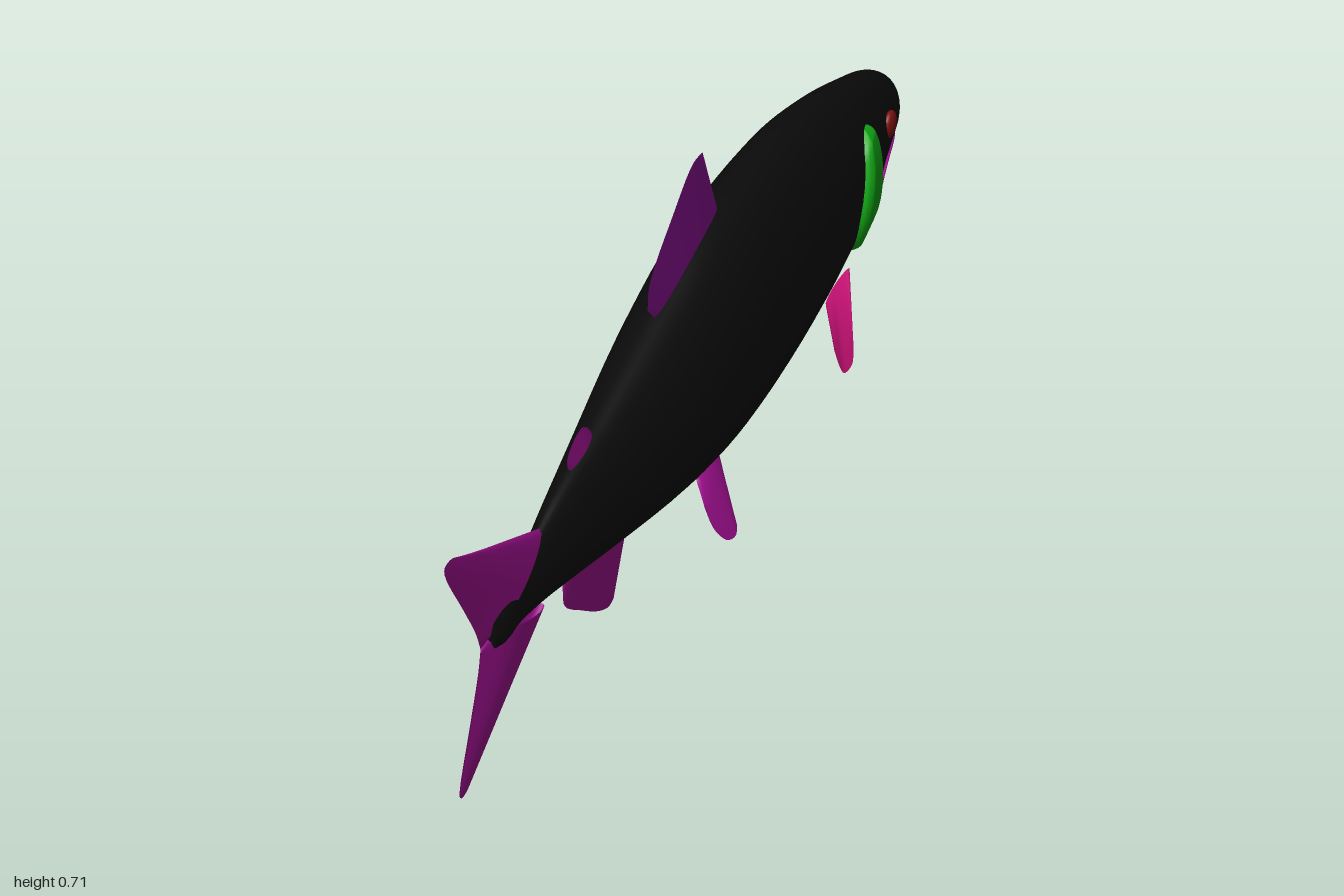
import * as THREE from 'three';
import { mergeVertices } from 'three/addons/utils/BufferGeometryUtils.js';

const mat = (name, color, side = THREE.FrontSide) => {
  const m = new THREE.MeshStandardMaterial({ color, side });
  m.name = name;
  return m;
};
const V = (x, y, z) => new THREE.Vector3(x, y, z);

// Smooth surface from a rule fn(u, v) -> Vector3, with du x dv pointing outward
function grid(fn, nu, nv) {
  const pos = [], idx = [];
  for (let j = 0; j <= nv; j++)
    for (let i = 0; i <= nu; i++) pos.push(...fn(i / nu, j / nv).toArray());
  for (let j = 0; j < nv; j++)
    for (let i = 0; i < nu; i++) {
      const a = j * (nu + 1) + i, c = a + nu + 1;
      idx.push(a, a + 1, c, a + 1, c + 1, c);
    }
  let g = new THREE.BufferGeometry();
  g.setAttribute('position', new THREE.Float32BufferAttribute(pos, 3));
  g.setIndex(idx);
  g = mergeVertices(g, 1e-5);
  g.computeVertexNormals();
  return g;
}

// Stations: [z, half width, top, widest height, bottom]
const bodyStations = [
  [-1, 0, 0.32, 0.315, 0.31],
  [-0.993, 0.026, 0.35, 0.315, 0.292],
  [-0.975, 0.043, 0.374, 0.312, 0.286],
  [-0.94, 0.056, 0.40, 0.31, 0.274],
  [-0.88, 0.068, 0.43, 0.31, 0.25],
  [-0.80, 0.080, 0.457, 0.31, 0.212],
  [-0.69, 0.098, 0.49, 0.31, 0.158],
  [-0.60, 0.107, 0.513, 0.315, 0.135],
  [-0.43, 0.113, 0.548, 0.32, 0.09],
  [-0.18, 0.115, 0.563, 0.315, 0.069],
  [0, 0.113, 0.55, 0.315, 0.076],
  [0.20, 0.1, 0.502, 0.31, 0.112],
  [0.46, 0.063, 0.44, 0.31, 0.18],
  [0.62, 0.038, 0.405, 0.31, 0.226],
  [0.70, 0.026, 0.382, 0.31, 0.248],
  [0.78, 0.018, 0.362, 0.31, 0.266],
  [0.87, 0.012, 0.345, 0.31, 0.279],
  [0.88, 0, 0.335, 0.31, 0.285],
];
const jawStations = [
  [-0.968, 0, 0.292, 0.289, 0.284],
  [-0.955, 0.034, 0.294, 0.287, 0.274],
  [-0.93, 0.048, 0.292, 0.283, 0.26],
  [-0.88, 0.062, 0.285, 0.275, 0.234],
  [-0.82, 0.073, 0.272, 0.262, 0.199],
  [-0.75, 0.084, 0.25, 0.238, 0.17],
  [-0.69, 0.086, 0.232, 0.212, 0.152],
  [-0.63, 0.05, 0.22, 0.2, 0.15],
];
const profile = (stations) => {
  const f = new THREE.CubicInterpolant(
    stations.map((s) => s[0]), stations.flatMap((s) => s.slice(1)), 4, new Float32Array(4));
  return (z) => f.evaluate(z);
};
const bodyAt = profile(bodyStations);

function loft(stations, sides, steps) {
  const at = profile(stations), n = stations.length - 1;
  return grid((u, v) => {
    const k = Math.min(n - 1, Math.floor(v * n));
    const z = THREE.MathUtils.lerp(stations[k][0], stations[k + 1][0], v * n - k);
    const [w, top, mid, bottom] = at(z);
    const a = u * Math.PI * 2, s = Math.sin(a);
    return V(Math.max(0, w) * Math.cos(a), mid + s * (s > 0 ? top - mid : mid - bottom), z);
  }, sides, n * steps);
}

// Half width of the body at a given length and height
function bodyX(y, z) {
  const [w, top, mid, bottom] = bodyAt(z);
  const r = (y - mid) / (y > mid ? top - mid : mid - bottom);
  return w * Math.sqrt(Math.max(0, 1 - r * r));
}

// Fin from a straight root to a curved rim, thick at the root and sharp at the edges
function fin(root, rim, thick) {
  const a = new THREE.LineCurve3(...root);
  const b = new THREE.CatmullRomCurve3(rim, false, 'centripetal');
  const n = root[1].clone().sub(root[0]).cross(b.getPoint(0.5).sub(root[0])).normalize();
  return grid((u, v) => {
    const s = u < 0.5 ? 1 : -1, t = u < 0.5 ? 2 * u : 2 - 2 * u;
    const h = thick * (1 - 0.95 * v) * Math.sqrt(Math.max(0, Math.sin(Math.PI * t)));
    return a.getPoint(t).lerp(b.getPoint(t), v).addScaledVector(n, s * h);
  }, 48, 8);
}
const flat = (pts) => pts.map(([z, y]) => V(0, y, z));

export function createModel() {
  const D = THREE.DoubleSide;
  const black = mat('body black', 0x0b0b0b);
  const red = mat('jaw dark red', 0x580e0e);
  const eyeRed = mat('eye red', 0x7c1010);
  const green = mat('gill green', 0x10a414, D);
  const violet = mat('dorsal violet', 0x881090, D);
  const magenta = mat('fin magenta', 0xa01090, D);
  const pink = mat('pectoral pink', 0xc01070, D);

  const model = new THREE.Group();
  model.name = 'fish';
  const add = (name, geo, material) => {
    const m = new THREE.Mesh(geo, material);
    m.name = name;
    model.add(m);
    return m;
  };
  const addPair = (name, geo, material) => {
    add('left' + name, geo, material);
    add('right' + name, geo, material).scale.x = -1;
  };

  add('body', loft(bodyStations, 48, 4), black);
  add('lowerJaw', loft(jawStations, 32, 4), red);

  // Eyes
  const eye = new THREE.SphereGeometry(1, 20, 14).scale(0.012, 0.03, 0.027);
  eye.translate(bodyX(0.352, -0.82) + 0.001, 0.352, -0.82);
  addPair('Eye', eye, eyeRed);

  // Thin lips along the mouth
  const lip = new THREE.CatmullRomCurve3([
    V(0.079, 0.243, -0.755), V(0.071, 0.271, -0.82), V(0.061, 0.283, -0.88), V(0.04, 0.294, -0.945)]);
  addPair('Lip', new THREE.TubeGeometry(lip, 20, 0.005, 6), red);
  addPair('MouthLine', new THREE.TubeGeometry(lip, 20, 0.003, 6).translate(0.003, 0.004, 0), magenta);

  // Gill covers: raised crescents that follow the body
  const rear = new THREE.CatmullRomCurve3(flat([
    [-0.64, 0.436], [-0.605, 0.41], [-0.585, 0.37], [-0.55, 0.28], [-0.565, 0.215], [-0.62, 0.16]]));
  const front = new THREE.CatmullRomCurve3(flat([
    [-0.66, 0.436], [-0.68, 0.42], [-0.68, 0.3], [-0.68, 0.19], [-0.64, 0.16]]));
  const gill = grid((u, v) => {
    const p = front.getPoint(v).lerp(rear.getPoint(v), u);
    const edge = Math.min(1, 5 * Math.min(u, 1 - u), 6 * Math.min(v, 1 - v));
    p.x = bodyX(p.y, p.z) - 0.003 + 0.018 * Math.sqrt(Math.max(0, edge));
    return p;
  }, 20, 30);
  addPair('GillCover', gill, green);

  // Fins on the centre line
  add('dorsalFin', fin(flat([[-0.08, 0.53], [0.2, 0.48]]),
    flat([[0, 0.708], [0.045, 0.706], [0.13, 0.655], [0.235, 0.575], [0.245, 0.53]]), 0.01), violet);
  add('adiposeFin', fin(flat([[0.47, 0.42], [0.555, 0.40]]),
    flat([[0.495, 0.455], [0.515, 0.468], [0.545, 0.466], [0.575, 0.445], [0.575, 0.428]]), 0.01), magenta);
  add('analFin', fin(flat([[0.34, 0.165], [0.61, 0.225]]),
    flat([[0.41, 0.032], [0.43, 0.03], [0.47, 0.05], [0.54, 0.105], [0.605, 0.165], [0.61, 0.2]]), 0.012), magenta);

  // Forked tail
  const lobe = [[0.95, 0.522], [0.975, 0.538], [0.998, 0.538], [1, 0.525], [0.95, 0.42], [0.915, 0.345], [0.905, 0.308]];
  const tailRoot = [[0.685, 0.385], [0.86, 0.308]];
  const flip = (pts) => pts.map(([z, y]) => [z, 0.616 - y]);
  add('upperTailFin', fin(flat(tailRoot), flat(lobe), 0.018), magenta);
  add('lowerTailFin', fin(flat(flip(tailRoot)), flat(flip(lobe)), 0.018), magenta);

  // Paired fins
  addPair('PelvicFin', fin([V(0.045, 0.12, 0.04), V(0.045, 0.115, 0.14)],
    [V(0.113, 0.008, 0.11), V(0.118, 0.002, 0.13), V(0.113, 0.012, 0.16),
      V(0.095, 0.045, 0.178), V(0.075, 0.08, 0.172)], 0.009), magenta);
  addPair('PectoralFin', fin([V(0.09, 0.17, -0.55), V(0.06, 0.105, -0.5)],
    [V(0.168, 0.112, -0.36), V(0.17, 0.09, -0.347), V(0.153, 0.058, -0.357),
      V(0.125, 0.036, -0.405), V(0.1, 0.04, -0.445)], 0.009), pink);

  return model;
}
